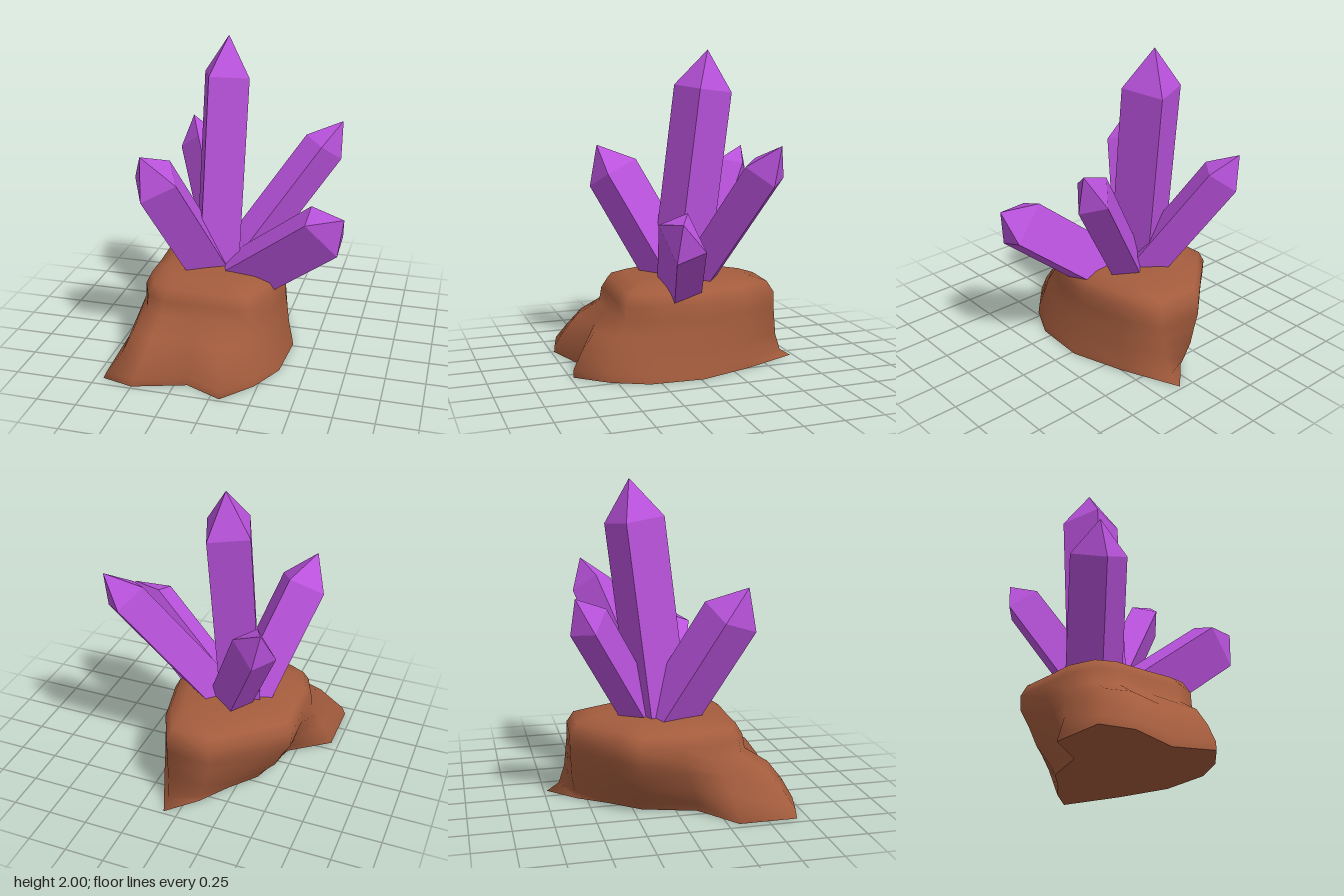
import * as THREE from 'three';
import { mergeGeometries } from 'three/addons/utils/BufferGeometryUtils.js';

const crystalMat = new THREE.MeshStandardMaterial({ color: 0xb952dc, flatShading: true });
crystalMat.name = 'purple crystal';
const rockMat = new THREE.MeshStandardMaterial({ color: 0xa45c3d });
rockMat.name = 'brown rock';

// Outlines [x, z] at the ground and at the shoulder; the back left is undercut
const foot = [
  [-0.70, 0.68], [-0.50, 0.73], [-0.17, 0.63], [0.06, 0.73], [0.23, 0.54], [0.34, 0.32], [0.36, -0.02],
  [0.25, -0.36], [0.09, -0.73], [-0.08, -0.56], [-0.21, -0.37], [-0.35, -0.20], [-0.45, 0.13], [-0.70, 0.32],
];
const shoulder = [
  [-0.50, 0.37], [-0.38, 0.43], [-0.17, 0.43], [0.05, 0.44], [0.17, 0.42], [0.26, 0.22], [0.30, -0.04],
  [0.23, -0.36], [0.12, -0.59], [-0.17, -0.61], [-0.45, -0.36], [-0.58, -0.25], [-0.57, 0.0], [-0.57, 0.2],
];
// Rings: height, blend from foot to shoulder, scale about the middle
const rings = [
  [0.0, 0, 1], [0.05, 0.05, 1], [0.16, 0.4, 1], [0.27, 0.66, 1], [0.36, 0.97, 1],
  [0.45, 1, 1], [0.52, 1, 0.92], [0.555, 1, 0.72], [0.567, 1, 0.4],
];
const MID = [-0.15, -0.07];

function fan(points, y, up) {
  const pos = [MID[0], y, MID[1]], index = [], n = points.length;
  points.forEach(([x, z], i) => {
    pos.push(x, y, z);
    const a = i + 1, b = ((i + 1) % n) + 1;
    index.push(0, up ? a : b, up ? b : a);
  });
  const g = new THREE.BufferGeometry();
  g.setAttribute('position', new THREE.Float32BufferAttribute(pos, 3));
  g.setIndex(index);
  g.computeVertexNormals();
  return g;
}

function rockGeometry() {
  const n = foot.length, pos = [], index = [];
  let last;
  rings.forEach(([y, t, s], r) => {
    last = foot.map(([fx, fz], i) => {
      // the back rises steeply while the front slopes out
      const x = fx + (shoulder[i][0] - fx) * Math.pow(t, 0.7);
      const z = fz + (shoulder[i][1] - fz) * Math.pow(t, 1 + 1.1 * fz);
      return [MID[0] + (x - MID[0]) * s, MID[1] + (z - MID[1]) * s];
    });
    last.forEach(([x, z], i) => {
      pos.push(x, y, z);
      if (r === rings.length - 1) return;
      const a = r * n + i, b = r * n + (i + 1) % n;
      index.push(a, b, a + n, b, b + n, a + n);
    });
  });
  const side = new THREE.BufferGeometry();
  side.setAttribute('position', new THREE.Float32BufferAttribute(pos, 3));
  side.setIndex(index);
  side.computeVertexNormals();
  const topY = rings[rings.length - 1][0];
  return mergeGeometries([side, fan(last, topY, true), fan(foot, 0, false)]);
}

// Four-sided shaft with a pyramid tip; u and v point from the neck centre to
// two neighbouring corners, tip is the pyramid height as a share of the shaft
function crystal(name, base, neck, u, v, tip) {
  const start = new THREE.Vector3(...base);
  const axis = new THREE.Vector3(...neck).sub(start);
  const profile = [[0, 0], [1, 0], [1, 1], [0, 1 + tip]].map(([x, y]) => new THREE.Vector2(x, y));
  const g = new THREE.LatheGeometry(profile, 4);
  g.applyMatrix4(new THREE.Matrix4()
    .makeBasis(new THREE.Vector3(...v), axis, new THREE.Vector3(...u))
    .setPosition(start));
  const mesh = new THREE.Mesh(g, crystalMat);
  mesh.name = name;
  return mesh;
}

export function createModel() {
  const model = new THREE.Group();
  model.name = 'crystalCluster';

  const rock = new THREE.Mesh(rockGeometry(), rockMat);
  rock.name = 'rockBase';
  model.add(rock);

  model.add(
    crystal('tallCrystal', [-0.165, 0.45, -0.035], [-0.13, 1.755, -0.19],
      [-0.07, 0.025, 0.17], [0.165, 0.005, 0.08], 0.188),
    crystal('frontCrystal', [-0.19, 0.45, -0.055], [-0.443, 1.2, 0.325],
      [-0.047, -0.09, 0.145], [0.156, 0.01, 0.075], 0.242),
    crystal('backCrystal', [-0.09, 0.44, -0.09], [-0.415, 1.2, -0.52],
      [-0.022, -0.07, -0.11], [-0.125, -0.05, 0.02], 0.198),
    crystal('sideCrystal', [-0.1, 0.45, -0.065], [0.467, 1.277, -0.358],
      [0.113, -0.077, -0.012], [-0.007, -0.037, -0.127], 0.198),
    crystal('lowCrystal', [-0.02, 0.445, 0.015], [0.577, 0.93, 0.2],
      [-0.1, 0.07, 0.11], [0.093, -0.13, 0.065], 0.208),
  );
  return model;
}
